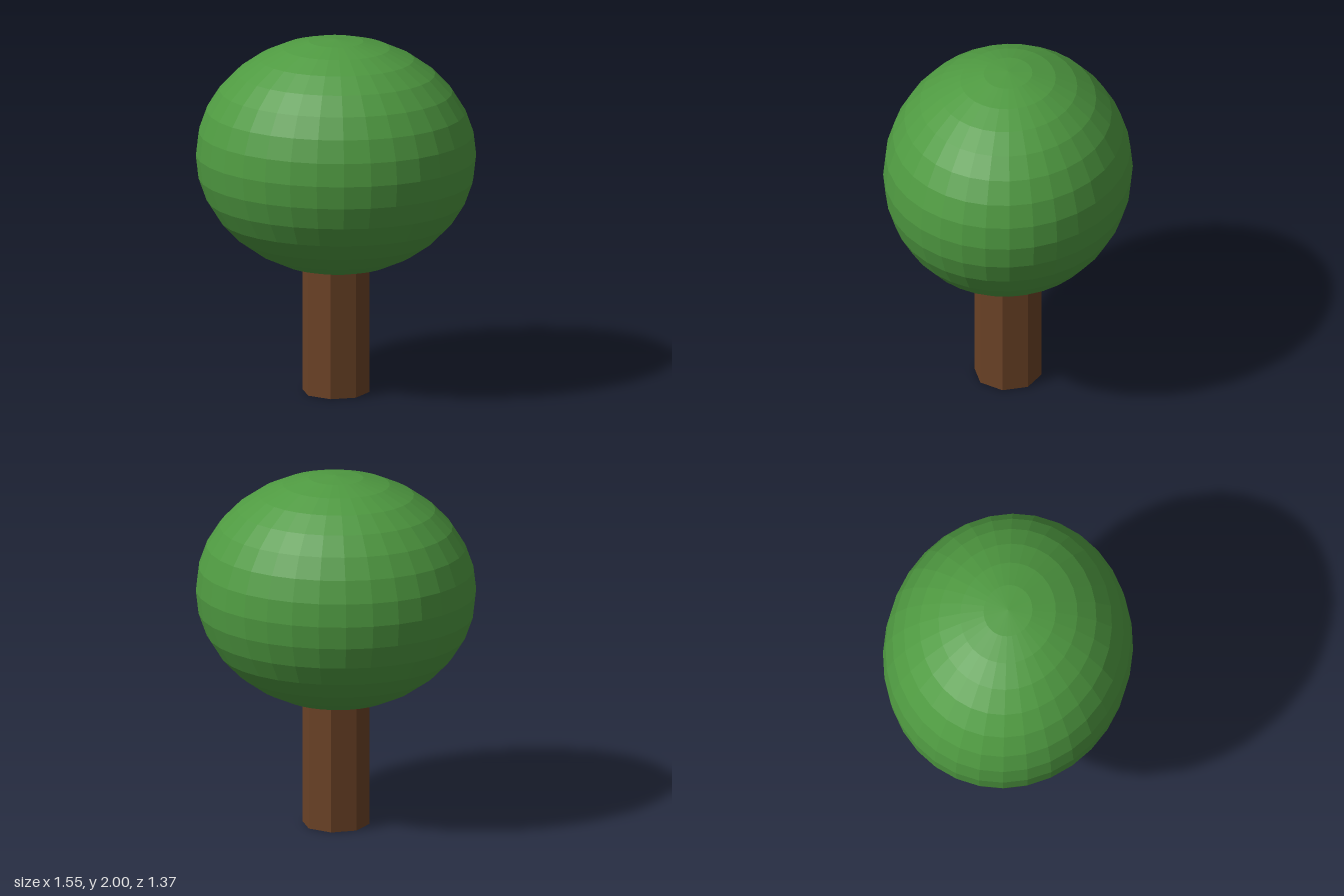
import * as THREE from 'three';

export function createModel() {
  const tree = new THREE.Group();
  tree.name = 'tree';

  const add = (name, geometry, color, y) => {
    const material = new THREE.MeshStandardMaterial({ color, flatShading: true });
    const mesh = new THREE.Mesh(geometry, material);
    mesh.name = name;
    mesh.position.y = y;
    tree.add(mesh);
    return mesh;
  };

  // Eight-sided trunk, running a little way into the crown
  const trunkHeight = 0.8;
  add('trunk', new THREE.CylinderGeometry(0.187, 0.187, trunkHeight, 8), 0x6b4226, trunkHeight / 2);

  // Faceted crown, widest from side to side
  const crown = add('crown', new THREE.SphereGeometry(1, 32, 16), 0x4f9a41, 1.34);
  crown.scale.set(0.773, 0.66, 0.683);

  return tree;
}
